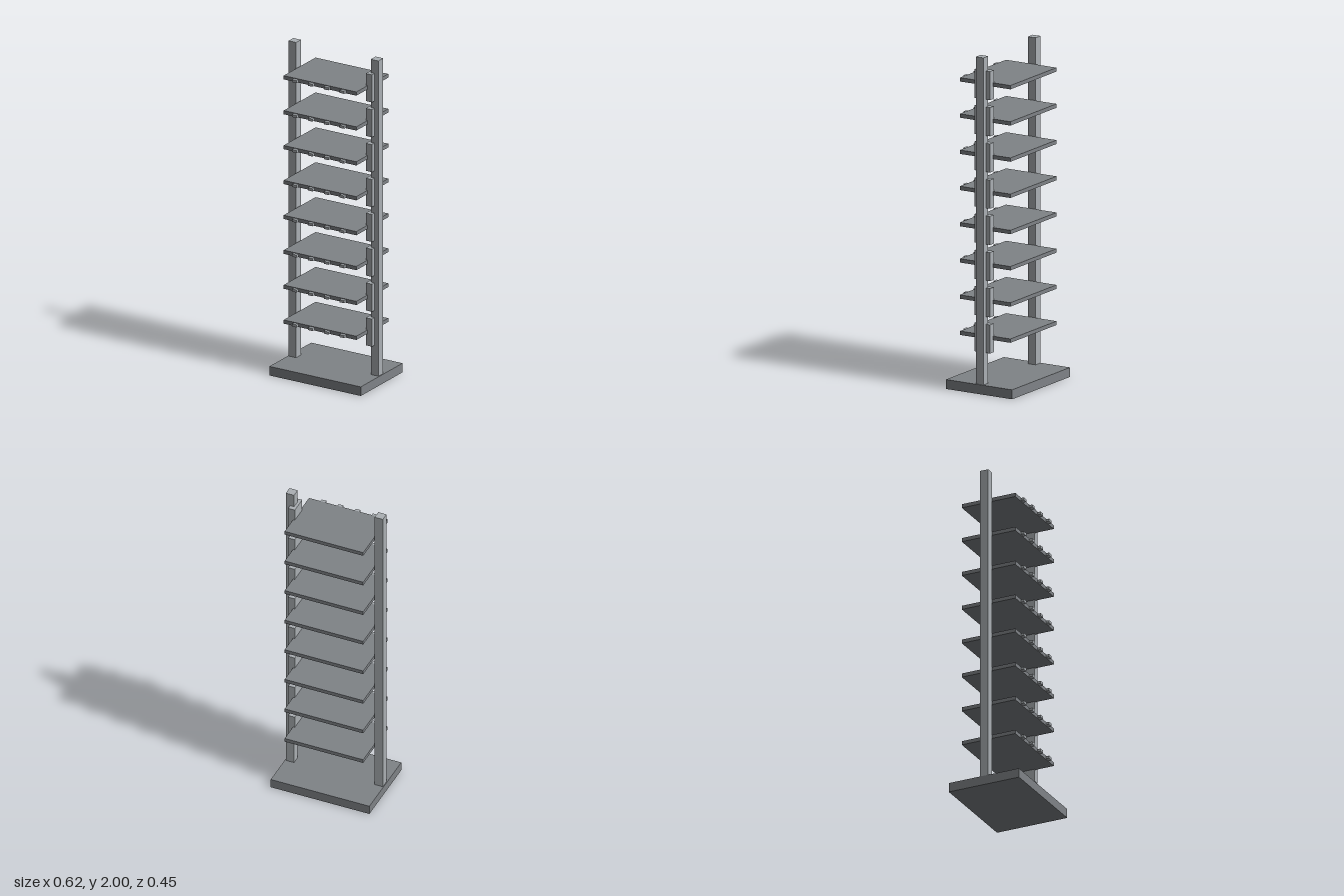
import * as THREE from 'three';

export function createModel() {
  const group = new THREE.Group();
  group.name = 'shelfTower';

  const darkGrey = new THREE.MeshStandardMaterial({ color: 0x7f8387 });
  darkGrey.name = 'darkGrey';
  const lightGrey = new THREE.MeshStandardMaterial({ color: 0xabb0b4 });
  lightGrey.name = 'lightGrey';

  // Adds a box given its size and centre
  function box(parent, name, material, [w, h, d], [x, y, z]) {
    const mesh = new THREE.Mesh(new THREE.BoxGeometry(w, h, d), material);
    mesh.name = name;
    mesh.position.set(x, y, z);
    parent.add(mesh);
  }

  // Base plate and the two uprights
  box(group, 'base', darkGrey, [0.622, 0.056, 0.452], [0, 0.028, 0]);
  box(group, 'rightPost', lightGrey, [0.052, 1.96, 0.052], [-0.281, 1.02, 0]);
  box(group, 'leftPost', lightGrey, [0.052, 1.96, 0.052], [0.279, 1.02, 0]);

  // Eight identical tiers: shelf, side bracket and four front tabs
  const tiers = 8;
  for (let i = 0; i < tiers; i++) {
    const tier = new THREE.Group();
    tier.name = `tier${i + 1}`;
    tier.position.y = 0.326 + i * 0.2152;
    box(tier, 'shelf', darkGrey, [0.495, 0.023, 0.345], [-0.001, 0, -0.001]);
    box(tier, 'bracket', lightGrey, [0.042, 0.17, 0.106], [0.257, 0, -0.001]);
    for (let j = 0; j < 4; j++) {
      box(tier, 'frontTab', lightGrey, [0.031, 0.016, 0.042], [-0.163 + j * 0.108, 0, 0.171]);
    }
    group.add(tier);
  }

  return group;
}
